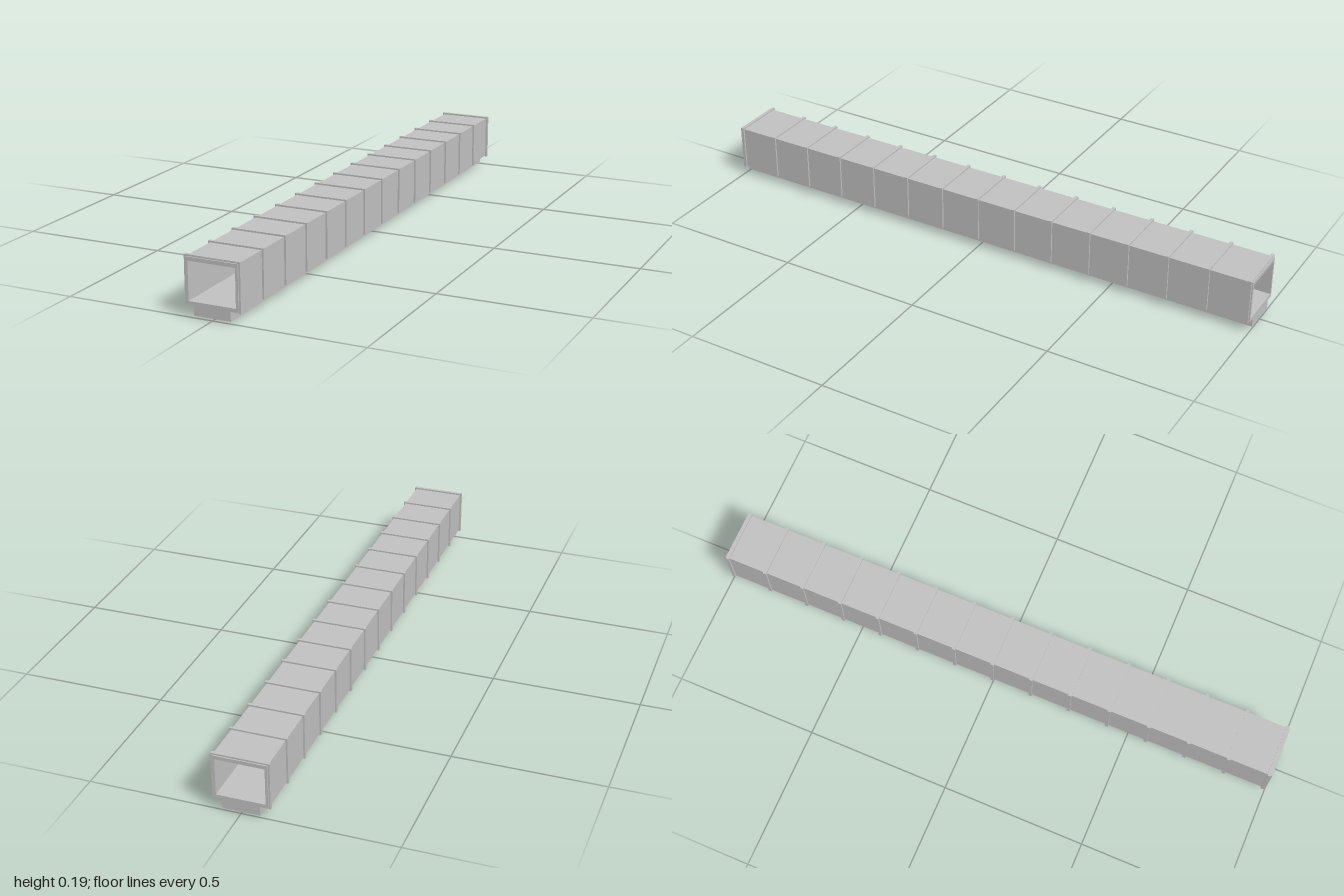
import * as THREE from 'three';

// Closed shape from [x, y] corners
const shapeFrom = (pts) => new THREE.Shape(pts.map(([x, y]) => new THREE.Vector2(x, y)));

// Extrusion along z, centred on z = 0
function extrudeCentred(shape, depth) {
  const geo = new THREE.ExtrudeGeometry(shape, { depth, bevelEnabled: false });
  return geo.translate(0, 0, -depth / 2);
}

export function createModel() {
  const model = new THREE.Group();
  model.name = 'boxDuct';
  const grey = new THREE.MeshStandardMaterial({ color: 0xc0c0c0 });
  grey.name = 'light grey';

  const add = (geo, name, z) => {
    const mesh = new THREE.Mesh(geo, grey);
    mesh.name = name;
    mesh.position.z = z;
    model.add(mesh);
  };

  // Hollow square duct with a narrower keel along its underside
  const W = 0.088, TOP = 0.1875, BOTTOM = 0.0375, KEEL = 0.0616, BASE = 0.007;
  const section = shapeFrom([
    [-KEEL, BASE], [KEEL, BASE], [KEEL, BOTTOM], [W, BOTTOM],
    [W, TOP], [-W, TOP], [-W, BOTTOM], [-KEEL, BOTTOM],
  ]);
  section.holes.push(shapeFrom([[-0.0795, 0.05], [-0.0795, 0.175], [0.0795, 0.175], [0.0795, 0.05]]));
  add(extrudeCentred(section, 2), 'ductBody', 0);

  // Thin bands wrapped over the top and both sides
  const R = 0.094, RIB_TOP = 0.193, RIB_BOTTOM = 0.034;
  const ribGeo = extrudeCentred(shapeFrom([
    [-R, RIB_BOTTOM], [-W, RIB_BOTTOM], [-W, TOP], [W, TOP],
    [W, RIB_BOTTOM], [R, RIB_BOTTOM], [R, RIB_TOP], [-R, RIB_TOP],
  ]), 0.011);
  const spacing = 0.1415;
  for (let i = -7; i <= 7; i++) add(ribGeo, 'rib', i * spacing);

  // Small pads under the keel, below every third rib
  const padGeo = new THREE.BoxGeometry(0.027, 0.008, 0.03).translate(0, 0.004, 0);
  for (let i = -6; i <= 6; i += 3) add(padGeo, 'footPad', i * spacing);

  return model;
}
